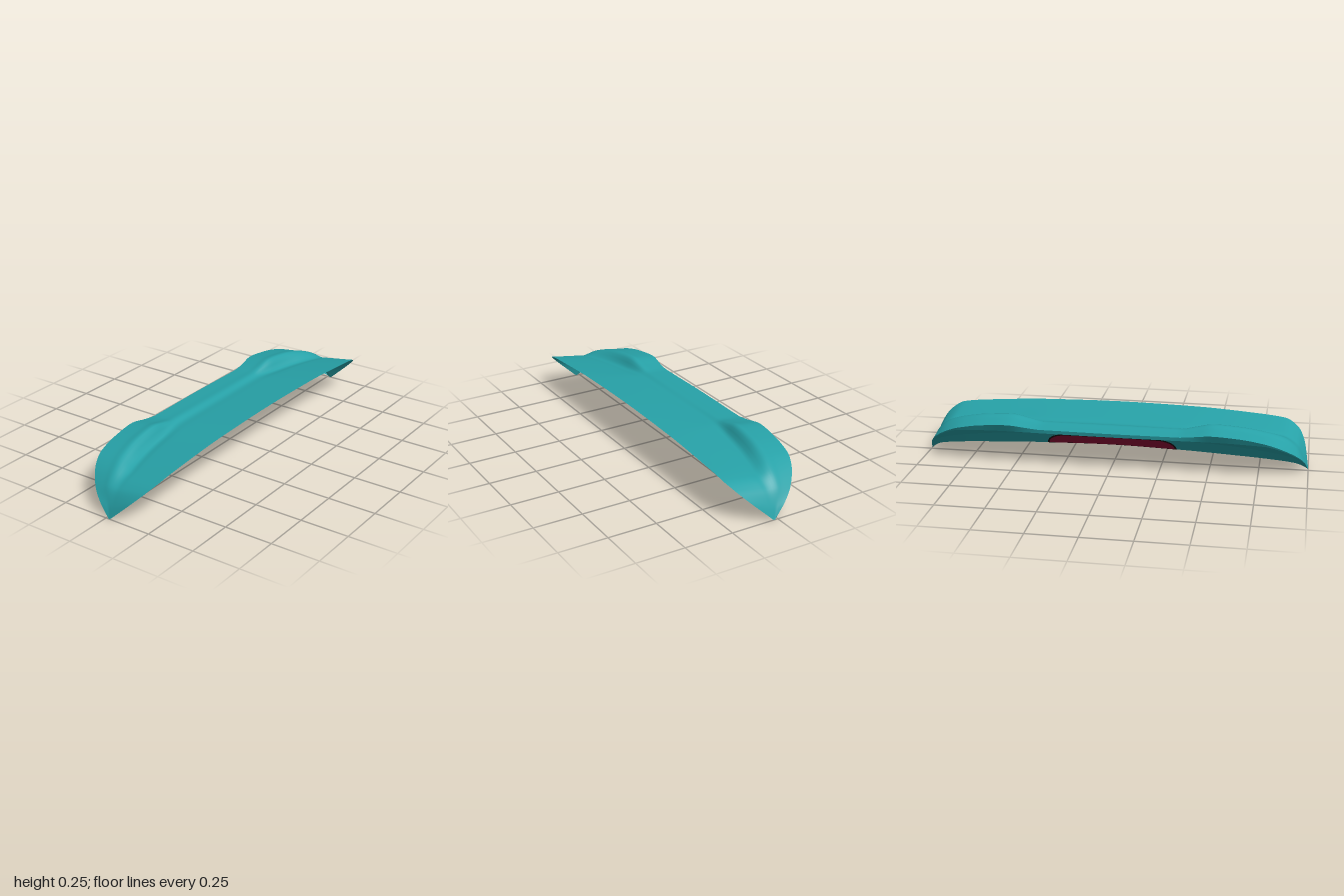
import * as THREE from 'three';

const mat = (name, color, side = THREE.DoubleSide) => {
  const m = new THREE.MeshStandardMaterial({ color, side });
  m.name = name;
  return m;
};

// Lengthwise rails of the left half: [x, z, y], mirrored to the right
const rails = {
  front: [[0, .228, .245], [.4, .228, .238], [.7, .228, .22], [.87, .226, .202], [.94, .195, .165], [.975, .14, .11], [1, .026, .003]],
  crease: [[0, -.06, .213], [.35, -.065, .21], [.52, -.05, .2], [.65, -.03, .192], [.78, 0, .182], [.87, .02, .17], [.94, .02, .13], [.98, .02, .06], [1, .02, 0]],
  ridge: [[0, -.1, .222], [.35, -.1, .222], [.42, -.095, .235], [.52, -.09, .253], [.65, -.08, .243], [.78, -.06, .218], [.87, -.04, .186], [.94, -.03, .13], [.98, 0, .055], [1, .018, 0]],
  trailing: [[0, -.218, .215], [.35, -.214, .215], [.42, -.217, .222], [.52, -.228, .235], [.65, -.219, .225], [.78, -.203, .2], [.85, -.178, .172], [.94, -.11, .11], [.98, -.05, .06], [1, .015, 0]],
  lip: [[0, -.212, .195], [.52, -.205, .195], [.78, -.195, .185], [.85, -.173, .163], [.94, -.105, .103], [.98, -.046, .054], [1, .015, 0]],
  panelTop: [[0, -.155, .182], [.35, -.155, .177], [.6, -.145, .162], [.8, -.125, .133], [.94, -.07, .085], [.98, -.025, .04], [1, .016, 0]],
  panelBottom: [[0, -.1, .118], [.35, -.095, .108], [.6, -.09, .095], [.8, -.075, .078], [.93, -.035, .05], [.98, 0, .02], [1, .018, 0]],
};

// Monotone cubic interpolation of one coordinate of a rail
function sample(keys, x, c) {
  const n = keys.length - 1;
  let i = 0;
  while (i < n - 1 && x > keys[i + 1][0]) i++;
  const slope = k => (keys[k + 1][c] - keys[k][c]) / (keys[k + 1][0] - keys[k][0]);
  const tangent = k => {
    if (k === 0) return 0;
    if (k === n) return slope(n - 1);
    const a = slope(k - 1), b = slope(k);
    return a * b <= 0 ? 0 : 2 * a * b / (a + b);
  };
  const h = keys[i + 1][0] - keys[i][0], t = (x - keys[i][0]) / h;
  const t2 = t * t, t3 = t2 * t;
  return (2 * t3 - 3 * t2 + 1) * keys[i][c] + (t3 - 2 * t2 + t) * h * tangent(i)
    + (3 * t2 - 2 * t3) * keys[i + 1][c] + (t3 - t2) * h * tangent(i + 1);
}

const railPoint = (name, x) => {
  const a = Math.min(1, Math.abs(x));
  return new THREE.Vector3(x, sample(rails[name], a, 2), sample(rails[name], a, 1));
};

// Surface from a grid of points, point(u, v) with u along x and v across
function surface(name, material, nu, nv, point) {
  const pos = [], index = [];
  for (let i = 0; i <= nu; i++) {
    for (let j = 0; j <= nv; j++) pos.push(...point(i / nu, j / nv).toArray());
  }
  for (let i = 0; i < nu; i++) {
    for (let j = 0; j < nv; j++) {
      const a = i * (nv + 1) + j, b = a + nv + 1;
      index.push(a, b, b + 1, a, b + 1, a + 1);
    }
  }
  const g = new THREE.BufferGeometry();
  g.setAttribute('position', new THREE.Float32BufferAttribute(pos, 3));
  g.setIndex(index);
  g.computeVertexNormals();
  const mesh = new THREE.Mesh(g, material);
  mesh.name = name;
  return mesh;
}

export function createModel() {
  const paint = mat('teal paint', 0x27a2a8);
  const red = mat('red lens', 0x8c0a36);
  const white = mat('white lamp back', 0xe8e6de);
  const black = mat('dark trim', 0x1c0c12);
  const group = new THREE.Group();
  group.name = 'rearSpoiler';

  // Columns are packed closer together towards the drooping tips
  const spanX = u => Math.sin((u - 0.5) * Math.PI);

  // Top skin: flat deck sweeping up into the twin humps
  group.add(surface('topSkin', paint, 128, 24, (u, v) => {
    const x = spanX(u);
    const front = railPoint('front', x), crease = railPoint('crease', x);
    const curve = new THREE.CatmullRomCurve3([
      front, front.clone().lerp(crease, 0.4), front.clone().lerp(crease, 0.8), crease,
      railPoint('ridge', x), railPoint('ridge', x).lerp(railPoint('trailing', x), 0.4), railPoint('trailing', x),
    ]);
    return curve.getPoint(v);
  }));

  // Rear edge, undercut and lower rear panel
  const strip = (name, a, b) => surface(name, paint, 128, 2,
    (u, v) => railPoint(a, spanX(u)).lerp(railPoint(b, spanX(u)), v));
  group.add(strip('trailingEdge', 'trailing', 'lip'));
  group.add(strip('undercut', 'lip', 'panelTop'));
  group.add(strip('rearPanel', 'panelTop', 'panelBottom'));

  // Brake lamp: thin plates following the rear panel, with rounded upper corners
  const normal = new THREE.Vector3(0, -0.65, -0.76);
  const lampPlate = (name, material, half, top, bottom, offset) => surface(name, material, 48, 3, (u, v) => {
    const x = half * Math.sin((u - 0.5) * Math.PI);
    const e = Math.max(0, (Math.abs(x) - half + 0.09) / 0.09);
    const edge = bottom + (top - bottom) * Math.sqrt(Math.max(0, 1 - e * e));
    const w = edge + (bottom - edge) * v;
    return railPoint('panelTop', x).lerp(railPoint('panelBottom', x), w).addScaledVector(normal, offset);
  });
  const lamp = new THREE.Group();
  lamp.name = 'brakeLamp';
  lamp.add(
    lampPlate('outerTrim', black, 0.335, 0.02, 0.98, 0.002),
    lampPlate('redLens', red, 0.325, 0.1, 0.92, 0.004),
    lampPlate('innerTrim', black, 0.335, 0.02, 0.98, -0.002),
    lampPlate('lampBack', white, 0.325, 0.09, 0.92, -0.004),
  );
  group.add(lamp);
  return group;
}
